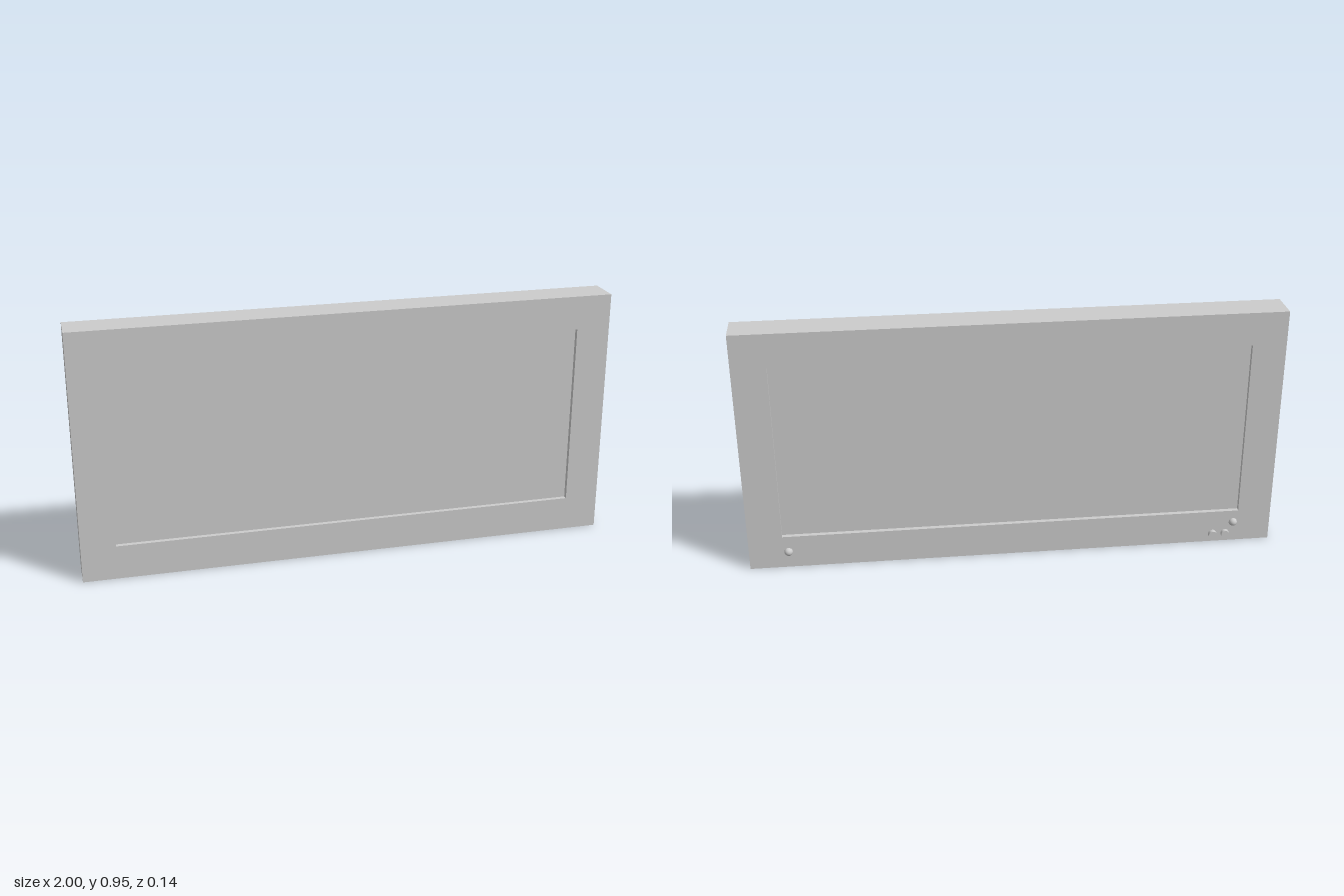
import * as THREE from 'three';

export function createModel() {
  const group = new THREE.Group();
  const material = new THREE.MeshStandardMaterial({ color: 0xcccccc });
  const backZ = -0.056, frontZ = 0.072, height = 0.946, recess = 0.017;

  const add = (name, geometry, x, y, z) => {
    const mesh = new THREE.Mesh(geometry, material);
    mesh.name = name;
    mesh.position.set(x, y, z);
    group.add(mesh);
    return mesh;
  };

  // Counter-clockwise rectangle as corner points
  const rect = (x, y0, y1) => [[-x, y0], [x, y0], [x, y1], [-x, y1]].map(p => new THREE.Vector2(...p));

  // Surrounding frame with one rectangular opening
  const [y0, y1, halfW] = [0.13, 0.82, 0.873];
  const outline = new THREE.Shape(rect(1, 0, height));
  outline.holes.push(new THREE.Path(rect(halfW, y0, y1).reverse()));
  add('frame', new THREE.ExtrudeGeometry(outline, { depth: frontZ - backZ, bevelEnabled: false }), 0, 0, backZ);

  // Panel filling the opening, set back slightly on both sides
  add('panel', new THREE.BoxGeometry(halfW * 2, y1 - y0, frontZ - backZ - recess * 2),
    0, (y0 + y1) / 2, (frontZ + backZ) / 2);

  // Round buttons, half sunk into the back
  for (const [name, x, y] of [['leftButton', 0.853, 0.066], ['rightButton', -0.855, 0.081]]) {
    add(name, new THREE.SphereGeometry(0.016, 24, 16), x, y, backZ);
  }

  // Short cylindrical knobs on the back
  for (const [name, x] of [['outerKnob', -0.825], ['innerKnob', -0.776]]) {
    add(name, new THREE.CylinderGeometry(0.016, 0.016, 0.032, 24), x, 0.034, backZ).rotation.x = Math.PI / 2;
  }

  return group;
}
